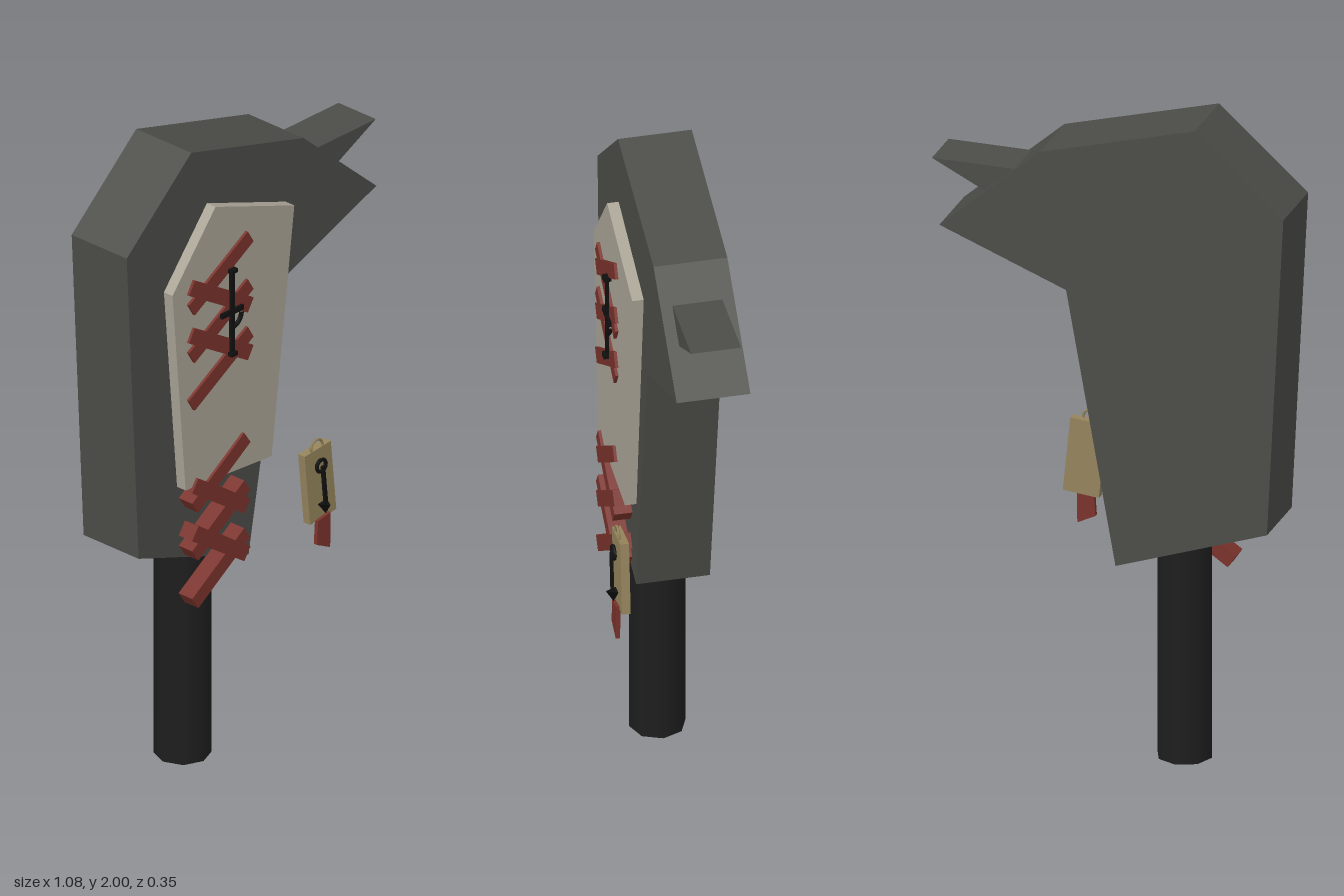
import * as THREE from 'three';

const material = (name, color) => {
  const m = new THREE.MeshStandardMaterial({ color });
  m.name = name;
  return m;
};

export function createModel() {
  const model = new THREE.Group();
  model.name = 'birdHeadStaff';

  const stone = material('dark stone', 0x4c4d48);
  const bone = material('pale bone', 0xaaa496);
  const leather = material('red leather', 0x7a322b);
  const brass = material('dull brass', 0x95845c);
  const rubber = material('black grip', 0x1e1e1e);
  const ink = material('black ink', 0x101010);

  const add = (parent, name, geometry, mat, x = 0, y = 0, z = 0) => {
    const mesh = new THREE.Mesh(geometry, mat);
    mesh.name = name;
    mesh.position.set(x, y, z);
    parent.add(mesh);
    return mesh;
  };

  // Flat slab: an outline in x, y drawn out between two depths
  const slab = (parent, name, points, z0, z1, mat) => {
    const shape = new THREE.Shape(points.map(([x, y]) => new THREE.Vector2(x, y)));
    const geometry = new THREE.ExtrudeGeometry(shape, { depth: z1 - z0, bevelEnabled: false });
    return add(parent, name, geometry, mat, 0, 0, z0);
  };

  // Handle
  add(model, 'handle', new THREE.CylinderGeometry(0.083, 0.083, 0.8, 8), rubber, -0.2, 0.4, -0.06);

  // Head with lower beak, and the separate upper beak
  slab(model, 'head', [[-0.27, 2], [-0.54, 1.76], [-0.49, 0.77], [-0.03, 0.61],
    [0.12, 1.45], [0.505, 1.6], [0.2, 1.87]], -0.177, 0.04, stone);
  slab(model, 'upperBeak', [[0.54, 1.79], [0.22, 1.79], [0.24, 1.64]], -0.142, 0.005, stone);

  // Pale face plate
  slab(model, 'facePlate', [[-0.215, 1.82], [-0.395, 1.6], [-0.34, 0.95],
    [0.02, 0.925], [0.115, 1.7]], 0.05, 0.084, bone);

  // Crossed lacing: three rising and two falling straps per set
  const lacing = (name, x, y, halfWidth) => {
    const group = new THREE.Group();
    group.name = name;
    const strap = (cy, dir) => {
      const dx = 2 * halfWidth, dy = 0.147;
      const box = new THREE.BoxGeometry(Math.hypot(dx, dy), 0.047, 0.054);
      add(group, 'strap', box, leather, x, cy, 0.066).rotation.z = dir * Math.atan2(dy, dx);
    };
    for (let i = 0; i < 3; i++) strap(y - i * 0.154, 1);
    for (let i = 0; i < 2; i++) strap(y - 0.075 - i * 0.154, -1);
    model.add(group);
  };
  lacing('upperLacing', -0.2, 1.602, 0.123);
  lacing('lowerLacing', -0.2, 0.957, 0.109);

  // Hooked mark on the face plate
  const mark = new THREE.Group();
  mark.name = 'hookMark';
  mark.position.set(-0.16, 1.465, 0.097);
  model.add(mark);
  add(mark, 'stem', new THREE.BoxGeometry(0.014, 0.27, 0.009), ink);
  add(mark, 'crossbar', new THREE.BoxGeometry(0.09, 0.016, 0.009), ink);
  for (const s of [-1, 1])
    add(mark, 'stemEnd', new THREE.BoxGeometry(0.026, 0.012, 0.022), ink, 0, s * 0.134, 0.001);
  add(mark, 'hook', new THREE.TorusGeometry(0.04, 0.007, 6, 12, Math.PI / 2), ink, 0, -0.012, 0)
    .rotation.z = -Math.PI / 2;

  // Hanging tag, tilted slightly
  const tag = new THREE.Group();
  tag.name = 'tag';
  tag.position.set(0.165, 0.803, 0);
  tag.rotation.z = 0.1;
  model.add(tag);
  add(tag, 'tagPlate', new THREE.BoxGeometry(0.11, 0.23, 0.026), brass, 0, 0, 0.127);
  add(tag, 'tagRing', new THREE.TorusGeometry(0.024, 0.004, 6, 16), brass, 0, 0.12, 0.136);

  // Small arrow on the tag
  add(tag, 'arrowShaft', new THREE.BoxGeometry(0.011, 0.13, 0.009), ink, 0, -0.003, 0.155);
  add(tag, 'arrowRing', new THREE.TorusGeometry(0.019, 0.006, 6, 12), ink, 0, 0.062, 0.149);
  add(tag, 'arrowTip', new THREE.ConeGeometry(0.022, 0.036, 3), ink, 0, -0.08, 0.152)
    .rotation.z = Math.PI;

  // Ribbon below the tag
  slab(model, 'ribbon', [[0.197, 0.7], [0.145, 0.69], [0.14, 0.615], [0.195, 0.588]],
    0.137, 0.15, leather);

  return model;
}
